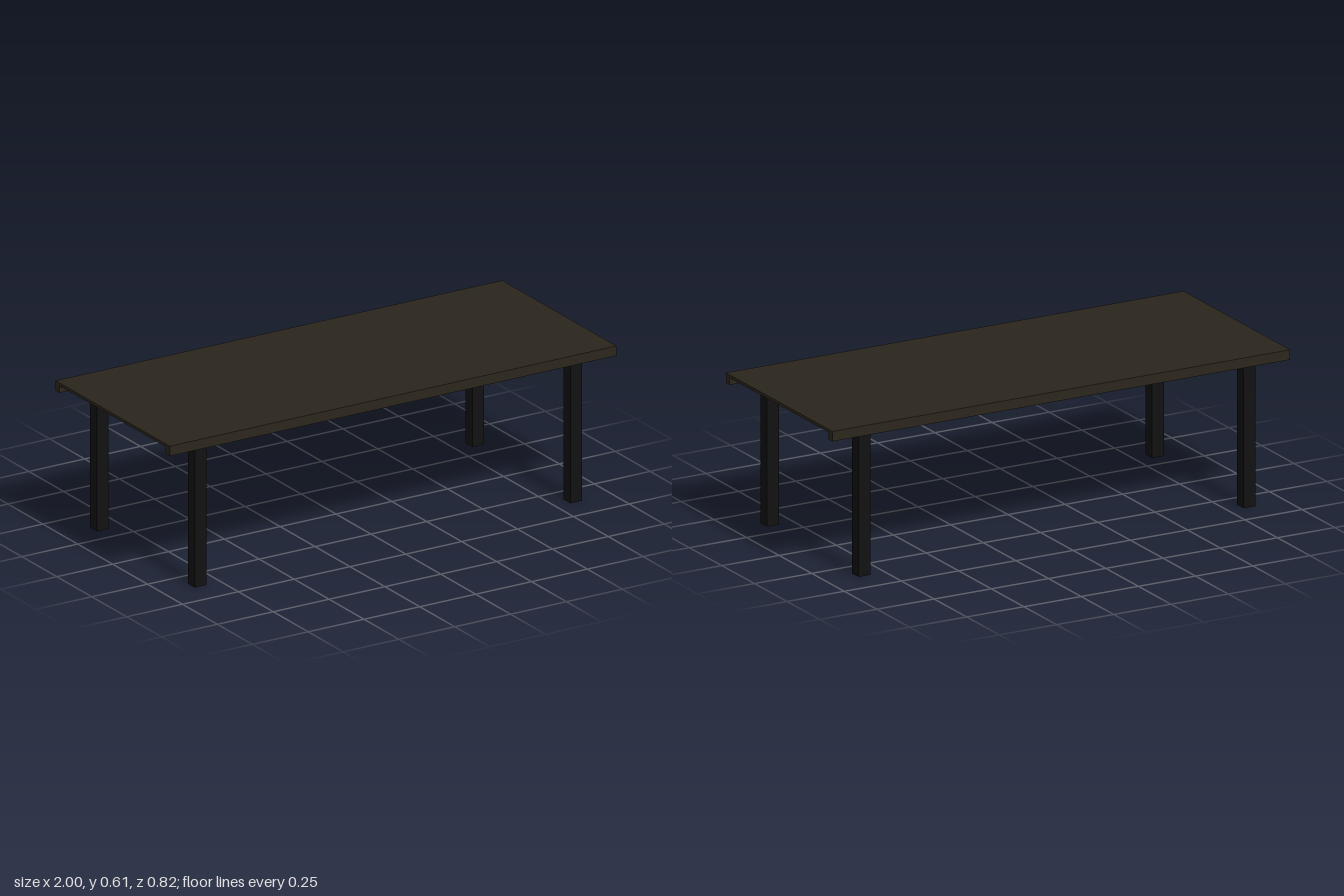
import * as THREE from 'three';

// Upside-down U in the z-y plane, extruded along x and centred on x = 0
function channel(halfDepth, bottom, top, sideWidth, barHeight, length) {
  const inner = halfDepth - sideWidth, under = top - barHeight;
  const shape = new THREE.Shape([
    [-halfDepth, bottom], [-inner, bottom], [-inner, under], [inner, under],
    [inner, bottom], [halfDepth, bottom], [halfDepth, top], [-halfDepth, top],
  ].map(([x, y]) => new THREE.Vector2(x, y)));
  const geometry = new THREE.ExtrudeGeometry(shape, { depth: length, bevelEnabled: false });
  geometry.translate(0, 0, -length / 2);
  geometry.rotateY(Math.PI / 2);
  return geometry;
}

export function createModel() {
  const table = new THREE.Group();
  table.name = 'table';
  const wood = new THREE.MeshStandardMaterial({ color: 0x2b251c });
  const metal = new THREE.MeshStandardMaterial({ color: 0x111111 });

  // Thin top with a lip hanging down along each long edge, open at the ends
  const top = new THREE.Mesh(channel(0.409, 0.573, 0.613, 0.03, 0.012, 2), wood);
  top.name = 'tabletop';
  table.add(top);

  // Leg frames: two square legs joined by a crossbar under the top
  const frameGeometry = channel(0.376, 0, 0.6, 0.051, 0.06, 0.052);
  for (const side of [-1, 1]) {
    const frame = new THREE.Mesh(frameGeometry, metal);
    frame.name = side > 0 ? 'leftLegFrame' : 'rightLegFrame';
    frame.position.x = side * 0.841;
    table.add(frame);
  }
  return table;
}
